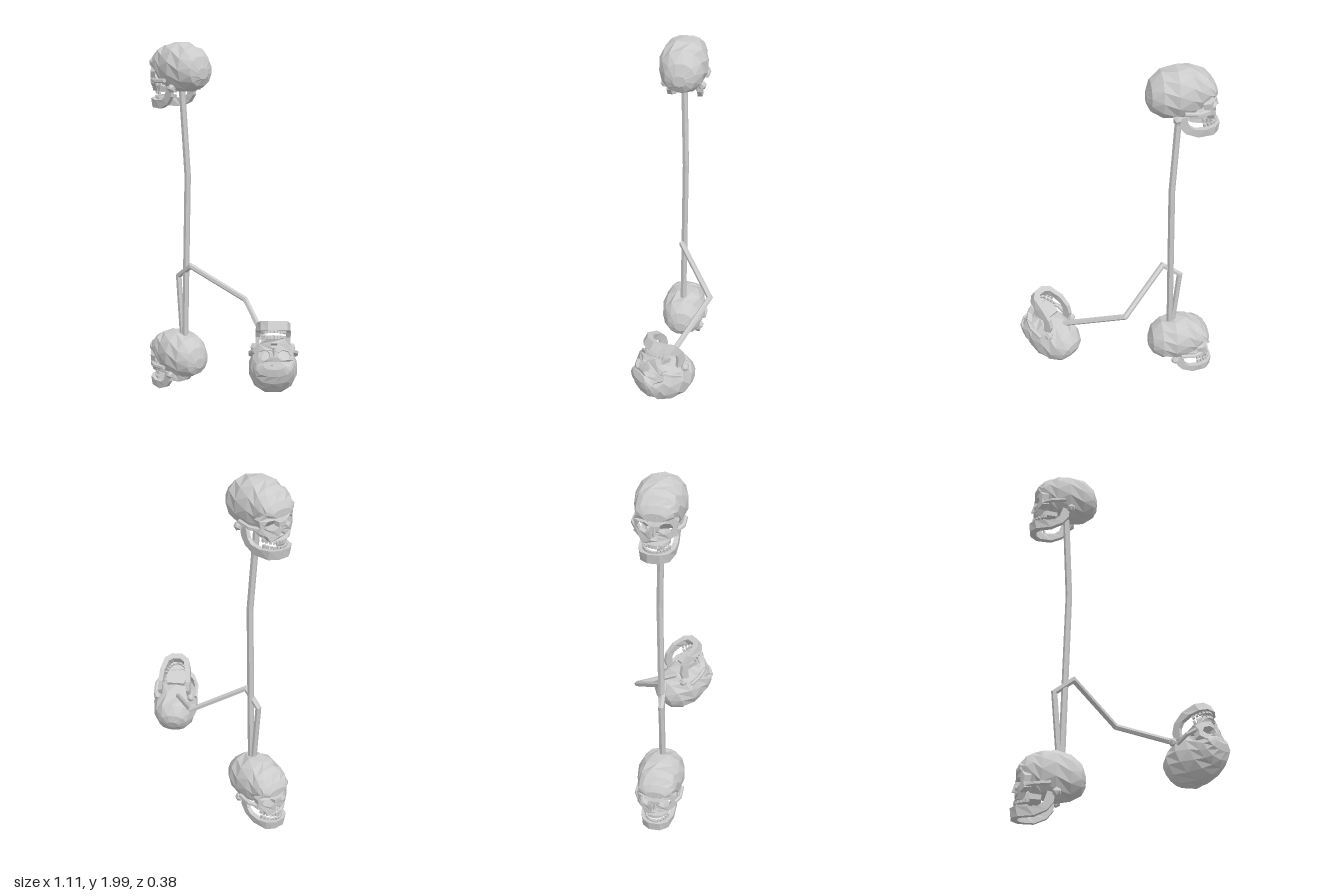
import * as THREE from 'three';

const bone = new THREE.MeshStandardMaterial({ color: 0xcccccc, flatShading: true, side: THREE.DoubleSide });
const V = (x, y, z) => new THREE.Vector3(x, y, z);

function part(name, geometry) {
  const mesh = new THREE.Mesh(geometry, bone);
  mesh.name = name;
  return mesh;
}

// Skin a list of rings (equal point counts, counter-clockwise about the travel direction), capped at both ends
function loft(rings) {
  const n = rings[0].length, last = (rings.length - 1) * n, index = [];
  for (let i = 0; i < rings.length - 1; i++) {
    for (let j = 0; j < n; j++) {
      const a = i * n + j, b = i * n + (j + 1) % n;
      index.push(a, b, b + n, a, b + n, a + n);
    }
  }
  for (let j = 1; j < n - 1; j++) index.push(0, j + 1, j, last, last + j, last + j + 1);
  const g = new THREE.BufferGeometry().setFromPoints(rings.flat());
  g.setIndex(index);
  const flat = g.toNonIndexed();
  flat.computeVertexNormals();
  return flat;
}

// Hexagonal rod through points, mitred at each joint
function rod(points, radius) {
  const dirs = points.slice(1).map((p, i) => p.clone().sub(points[i]).normalize());
  const u = V(0, 0, 1).cross(dirs[0]).normalize(), v = dirs[0].clone().cross(u);
  let ring = [];
  for (let k = 0; k < 6; k++) {
    const a = k * Math.PI / 3;
    ring.push(points[0].clone().addScaledVector(u, radius * Math.cos(a)).addScaledVector(v, radius * Math.sin(a)));
  }
  const rings = [ring];
  dirs.forEach((d, i) => {
    const n = d.clone().add(dirs[i + 1] || d), joint = points[i + 1];
    ring = ring.map(p => p.clone().addScaledVector(d, joint.clone().sub(p).dot(n) / d.dot(n)));
    rings.push(ring);
  });
  return loft(rings);
}

// Braincase: oval rings from the back of the head to the brow [z, top, bottom, half width]
function craniumGeometry() {
  const rows = [
    [-0.19, 0.05, -0.01, 0.035], [-0.17, 0.11, -0.048, 0.08], [-0.115, 0.158, -0.08, 0.115],
    [-0.04, 0.178, -0.088, 0.13], [0.03, 0.174, -0.075, 0.128], [0.075, 0.16, -0.045, 0.116],
    [0.11, 0.14, -0.01, 0.108], [0.14, 0.105, 0.02, 0.092], [0.16, 0.07, 0.028, 0.055]];
  return loft(rows.map(([z, top, bottom, w], i) => {
    const ring = [];
    for (let k = 0; k < 12; k++) {
      const a = (k + (i % 2) * 0.5) * Math.PI / 6, c = Math.cos(a), s = Math.sin(a);
      const dent = z > 0.02 && z < 0.12 && Math.abs(s) < 0.6 ? 0.94 : 1;
      ring.push(V(dent * w * Math.sign(c) * Math.abs(c) ** 0.85,
        (top + bottom) / 2 + (top - bottom) / 2 * s, z));
    }
    return ring;
  }));
}

// Face plate with eye and nose openings, curved back at the sides
function faceGeometry() {
  const half = [[0.03, 0.048], [0.085, 0.048], [0.106, 0.018], [0.1, -0.015], [0.106, -0.045], [0.075, -0.062], [0.058, -0.092], [0.03, -0.095]];
  const outline = [...half, ...half.map(([x, y]) => [-x, y]).reverse()];
  const shape = new THREE.Shape(outline.map(([x, y]) => new THREE.Vector2(x, y)));
  for (const side of [-1, 1]) {
    const eye = [];
    for (let k = 0; k < 7; k++) {
      const a = k * Math.PI * 2 / 7;
      eye.push(new THREE.Vector2(side * (0.052 + 0.034 * Math.cos(a)), -0.005 + 0.028 * Math.sin(a)));
    }
    shape.holes.push(new THREE.Path(eye));
  }
  shape.holes.push(new THREE.Path([[0, -0.03], [0.012, -0.045], [0.018, -0.066], [-0.018, -0.066], [-0.012, -0.045]]
    .map(([x, y]) => new THREE.Vector2(x, y))));
  const g = new THREE.ExtrudeGeometry(shape, { depth: 0.035, bevelEnabled: false });
  const p = g.attributes.position;
  for (let i = 0; i < p.count; i++) {
    const x = p.getX(i);
    p.setZ(i, p.getZ(i) + 0.13 - 4.5 * x * x);
  }
  g.computeVertexNormals();
  return g;
}

// Lower jaw: U-shaped bar, one side listed [x, top y, top z, bottom y, bottom z, inset x, inset z]
function jawGeometry() {
  const half = [
    [0.092, -0.055, 0.0, -0.065, -0.036, 0.02, 0], [0.092, -0.11, 0.018, -0.11, -0.033, 0.022, 0],
    [0.092, -0.132, 0.045, -0.152, 0.0, 0.025, 0], [0.088, -0.137, 0.1, -0.18, 0.065, 0.028, 0.005],
    [0.07, -0.132, 0.155, -0.182, 0.145, 0.026, 0.022], [0.03, -0.13, 0.184, -0.18, 0.178, 0.01, 0.035]];
  const ring = ([x, ty, tz, by, bz, ix, iz]) =>
    [V(x, by, bz), V(x, ty, tz), V(x - ix, ty, tz - iz), V(x - ix, by, bz - iz)];
  const mirrored = half.map(([x, ty, tz, by, bz, ix, iz]) => [-x, ty, tz, by, bz, -ix, iz]).reverse();
  return loft([...half, ...mirrored].map(ring));
}

function createSkull(name) {
  const skull = new THREE.Group();
  skull.name = name;
  skull.add(part('cranium', craniumGeometry()), part('face', faceGeometry()), part('lowerJaw', jawGeometry()));

  // Bridge of the nose
  skull.add(part('noseBridge', loft([
    [V(0.012, 0.004, 0.15), V(0, 0.004, 0.166), V(-0.012, 0.004, 0.15)],
    [V(0.013, -0.04, 0.155), V(0, -0.045, 0.18), V(-0.013, -0.04, 0.155)]])));

  // Upper jaw and palate
  const palate = (z, w, top) => [V(w, -0.09, z), V(w, top, z), V(-w, top, z), V(-w, -0.09, z)];
  skull.add(part('upperJaw', loft([palate(0.03, 0.05, -0.065), palate(0.09, 0.062, -0.06), palate(0.14, 0.05, -0.068)])));

  // Upper and lower teeth along the dental arch
  for (const [row, y, push] of [['upperTooth', -0.098, -0.006], ['lowerTooth', -0.128, 0]]) {
    for (let k = 0; k < 12; k++) {
      const a = (k - 5.5) * 0.24;
      const tooth = part(row, new THREE.BoxGeometry(0.013, 0.018, 0.012));
      tooth.position.set(0.062 * Math.sin(a), y, 0.08 + 0.088 * Math.cos(a) + push);
      tooth.rotation.y = a;
      skull.add(tooth);
    }
  }

  // Cheek arches and ear bumps
  for (const s of [-1, 1]) {
    skull.add(part('cheekArch', rod([V(s * 0.096, -0.03, 0.108), V(s * 0.119, -0.028, 0.06), V(s * 0.118, -0.022, -0.015)], 0.012)));
    const ear = part('earBump', new THREE.IcosahedronGeometry(0.025, 0));
    ear.position.set(s * 0.098, -0.062, -0.045);
    skull.add(ear);
  }
  return skull;
}

export function createModel() {
  const model = new THREE.Group();
  model.name = 'skullStand';

  // Two upright skulls in profile
  for (const [name, x, y] of [['upperSkull', -0.33, 1.82], ['lowerSkull', -0.37, 0.187]]) {
    const skull = createSkull(name);
    skull.position.set(x, y, 0.02);
    skull.rotation.y = -Math.PI / 2;
    model.add(skull);
  }

  // Hanging skull, upside down and turned to the corner
  const hanging = createSkull('hangingSkull');
  const pitch = 0.43, h = Math.SQRT1_2;
  const forward = V(h * Math.cos(pitch), Math.sin(pitch), h * Math.cos(pitch));
  const up = V(h * Math.sin(pitch), -Math.cos(pitch), h * Math.sin(pitch));
  hanging.quaternion.setFromRotationMatrix(new THREE.Matrix4().makeBasis(up.clone().cross(forward), up, forward));
  hanging.position.set(0.382, 0.388, 0.015);
  model.add(hanging);

  // Bent pole and branching arm
  model.add(part('pole', rod([V(-0.312, 1.78, 0.02), V(-0.285, 1.27, 0.006), V(-0.303, 0.32, 0.02)], 0.018)));
  model.add(part('arm', rod([V(-0.317, 0.32, 0.025), V(-0.35, 0.69, 0.022), V(-0.25, 0.765, 0.02),
    V(-0.015, 0.582, -0.175), V(0.33, 0.428, -0.01)], 0.016)));
  return model;
}
